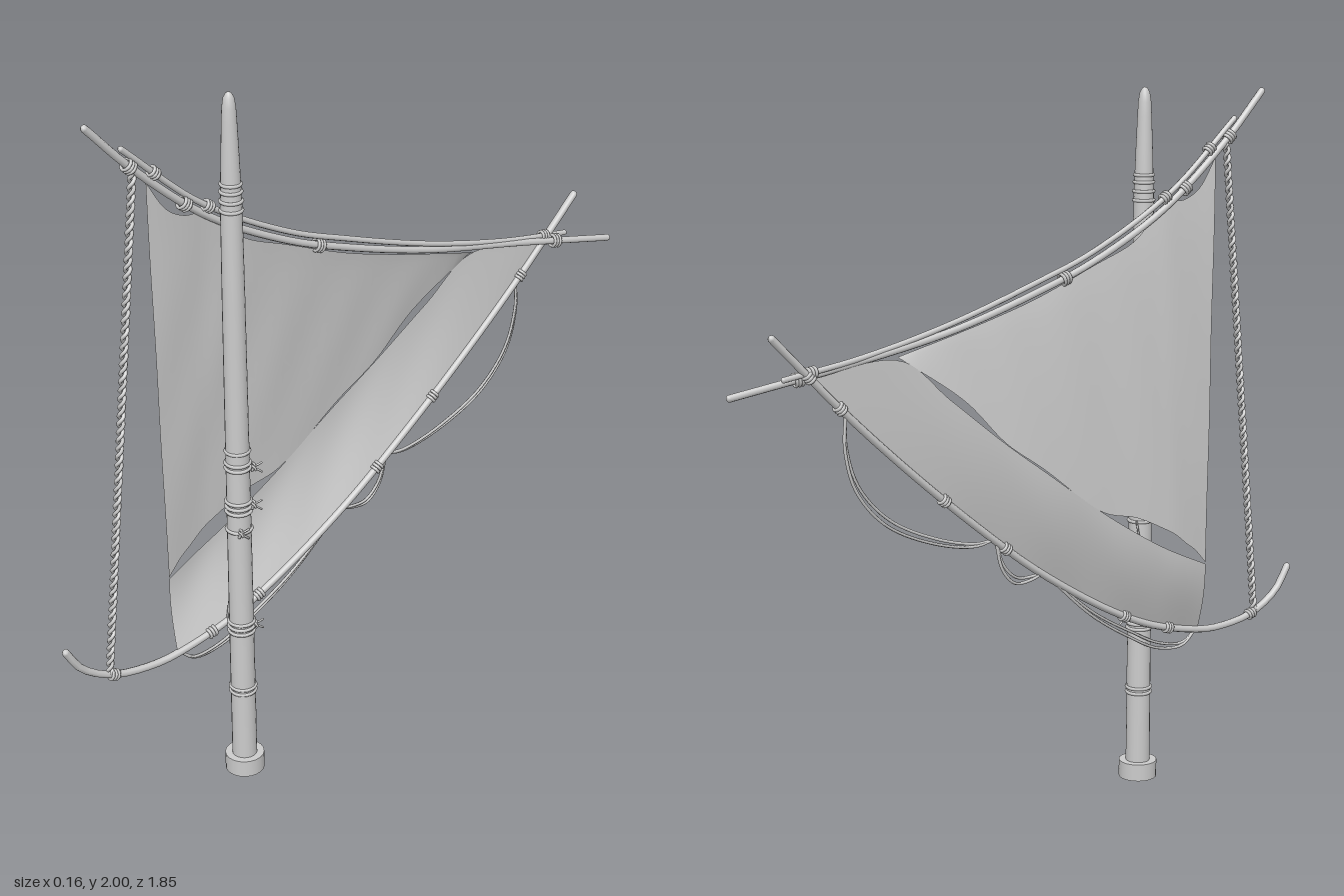
import * as THREE from 'three';

const mat = new THREE.MeshStandardMaterial({ color: 0xcccccc });
const clothMat = new THREE.MeshStandardMaterial({ color: 0xcccccc, side: THREE.DoubleSide });
const V = (x, y, z) => new THREE.Vector3(x, y, z);
const MX = 0.024, MZ = 0.392; // mast axis

function add(parent, name, geo, material = mat) {
  const m = new THREE.Mesh(geo, material);
  m.name = name;
  parent.add(m);
  return m;
}

// Smooth curve through [z, y, x] points; x falls back to the sail plane
const curve = (pts, x = -0.02) =>
  new THREE.CatmullRomCurve3(pts.map(([z, y, px = x]) => V(px, y, z)));

// Round pole or rope with closed ends
function pole(parent, name, path, r, sides = 8, seg = 48) {
  const g = new THREE.Group();
  g.name = name;
  add(g, name + 'Shaft', new THREE.TubeGeometry(path, seg, r, sides));
  for (const t of [0, 1]) {
    const cap = add(g, name + 'End', new THREE.SphereGeometry(r, sides, 6));
    cap.position.copy(path.getPoint(t));
  }
  parent.add(g);
}

// Two strands wound round each other between a and b
function twistedRope(parent, name, a, b, r, turns) {
  for (const phase of [0, Math.PI]) {
    const pts = [];
    const n = turns * 8;
    for (let i = 0; i <= n; i++) {
      const t = i / n, w = t * turns * Math.PI * 2 + phase;
      pts.push(V(Math.cos(w) * r, 0, Math.sin(w) * r).add(a.clone().lerp(b, t)));
    }
    add(parent, name, new THREE.TubeGeometry(new THREE.CatmullRomCurve3(pts), n * 2, r * 0.85, 5));
  }
}

// Rope turns around a spar at parameter t
function lashing(parent, path, t, r, turns = 3) {
  const p = path.getPointAt(t), d = path.getTangentAt(t);
  for (let i = 0; i < turns; i++) {
    const ring = add(parent, 'lashing', new THREE.TorusGeometry(r, 0.0045, 6, 14));
    ring.position.copy(p).addScaledVector(d, (i - (turns - 1) / 2) * 0.009);
    ring.quaternion.setFromUnitVectors(V(0, 0, 1), d);
  }
}

// Cloth ruled between a lower and an upper edge, bellied out toward -x
function cloth(parent, name, lower, upper, belly) {
  const nu = 60, nv = 16, pos = [], idx = [];
  const a = curve(lower), b = curve(upper);
  for (let i = 0; i <= nu; i++) {
    const p = a.getPoint(i / nu), q = b.getPoint(i / nu);
    for (let j = 0; j <= nv; j++) {
      const v = j / nv, c = p.clone().lerp(q, v);
      const fade = THREE.MathUtils.smoothstep(c.z, -0.68, 0.1) *
        (1 - 0.3 * THREE.MathUtils.smoothstep(c.z, 0.42, 0.62));
      const fold = 0.002 * Math.sin(c.z * 30 + c.y * 9) * Math.sin(Math.PI * v);
      pos.push(-0.02 - (0.058 * belly(v) + fold) * fade, c.y, c.z);
      if (i < nu && j < nv) {
        const k = i * (nv + 1) + j, l = k + nv + 1;
        idx.push(k, k + 1, l, k + 1, l + 1, l);
      }
    }
  }
  const g = new THREE.BufferGeometry();
  g.setAttribute('position', new THREE.Float32BufferAttribute(pos, 3));
  g.setIndex(idx);
  g.computeVertexNormals();
  add(parent, name, g, clothMat);
}

function buildMast(root) {
  const mast = new THREE.Group();
  mast.name = 'mast';
  mast.position.set(MX, 0, MZ);
  root.add(mast);
  const lathe = (name, pts) =>
    add(mast, name, new THREE.LatheGeometry(pts.map(p => new THREE.Vector2(...p)), 20));
  // Foot collar, separate loops keep its edges crisp
  add(mast, 'mastFoot', new THREE.CylinderGeometry(0.055, 0.055, 0.05, 20)).position.y = 0.025;
  lathe('mastPole', [[0.035, 0.04], [0.034, 0.5], [0.032, 1], [0.03, 1.45], [0.028, 1.7],
    [0.024, 1.82], [0.02, 1.92], [0.018, 1.96], [0.014, 1.985], [0.007, 1.997], [0, 2]]);
  // Bands around the pole
  for (const [y, r] of [[0.26, 0.035], [0.275, 0.035], [0.455, 0.035], [0.47, 0.035], [0.485, 0.035],
    [0.775, 0.034], [0.83, 0.034], [0.845, 0.034], [0.86, 0.034], [0.96, 0.033], [0.975, 0.033],
    [1.01, 0.032], [1.69, 0.028], [1.715, 0.028], [1.74, 0.027], [1.76, 0.026]]) {
    const band = add(mast, 'mastBand', new THREE.TorusGeometry(r, 0.005, 6, 20));
    band.rotation.x = Math.PI / 2;
    band.position.y = y;
  }
  // Knots with loose ends
  for (const [x, y, z] of [[0.018, 0.955, -0.036], [0.03, 0.85, -0.025], [0.03, 0.775, 0.018], [0.025, 0.475, -0.026]]) {
    const knot = add(mast, 'knot', new THREE.TorusKnotGeometry(0.008, 0.0035, 36, 5));
    knot.position.set(x, y, z);
    for (const s of [-1, 1]) {
      add(mast, 'knotTail', new THREE.TubeGeometry(new THREE.CatmullRomCurve3([
        V(x, y, z), V(x + 0.008, y + 0.008 * s, z - 0.012), V(x + 0.004, y + 0.014 * s - 0.006, z - 0.026),
      ]), 8, 0.003, 5));
    }
  }
}

export function createModel() {
  const root = new THREE.Group();
  root.name = 'sailRig';
  buildMast(root);

  // Curved spars
  const yard = curve([[0.776, 1.975], [0.644, 1.84], [0.43, 1.667], [0.19, 1.542], [0, 1.474],
    [-0.284, 1.394], [-0.6, 1.337, -0.012], [-0.75, 1.312, 0.002], [-0.914, 1.285, 0.02]]);
  const upperYard = curve([[0.68, 1.903], [0.458, 1.713], [0.19, 1.568], [0, 1.5],
    [-0.28, 1.414], [-0.55, 1.354], [-0.78, 1.322]], -0.017);
  const boom = curve([[0.918, 0.56], [0.872, 0.492], [0.776, 0.437], [0.644, 0.419], [0.564, 0.427], [0.405, 0.469],
    [0.246, 0.543], [0, 0.697], [-0.178, 0.835], [-0.39, 1.015], [-0.6, 1.21], [-0.813, 1.43]]);
  pole(root, 'yard', yard, 0.01);
  pole(root, 'upperYard', upperYard, 0.008);
  pole(root, 'boom', boom, 0.0105, 8, 64);
  for (const t of [0.09, 0.2, 0.45, 0.9]) lashing(root, yard, t, 0.016);
  for (const t of [0.075, 0.2, 0.95]) lashing(root, upperYard, t, 0.013);
  for (const t of [0.09, 0.24, 0.32, 0.55, 0.67, 0.87, 0.93]) lashing(root, boom, t, 0.013);

  // Upper sail panel
  cloth(root, 'upperSail',
    [[0.564, 0.64], [0.52, 0.685], [0.485, 0.71], [0.44, 0.745], [0.395, 0.77], [0.3, 0.815],
      [0.183, 0.848], [-0.02, 1.0], [-0.135, 1.083], [-0.257, 1.21], [-0.445, 1.342]],
    [[0.612, 1.8], [0.554, 1.715], [0.5, 1.687], [0.44, 1.685], [0.384, 1.637], [0.326, 1.584],
      [0.19, 1.53], [0, 1.458], [-0.15, 1.415], [-0.284, 1.382], [-0.445, 1.345]],
    v => Math.pow(1 - v, 0.85));

  // Lower sail panel along the boom
  cloth(root, 'lowerSail',
    [[0.575, 0.43], [0.405, 0.475], [0.246, 0.548], [0, 0.702], [-0.178, 0.84], [-0.39, 1.02], [-0.6, 1.215], [-0.7, 1.312]],
    [[0.564, 0.635], [0.395, 0.715], [0.183, 0.846], [0, 0.98], [-0.135, 1.081], [-0.3, 1.218], [-0.445, 1.337], [-0.7, 1.316]],
    v => Math.sin(v * Math.PI / 2));

  // Twisted stay between the spar tips
  twistedRope(root, 'stayRope', V(-0.02, 1.835, 0.65), V(-0.02, 0.445, 0.79), 0.0065, 30);

  // Slack double ropes under the boom
  const slack = [
    [[-0.605, 1.205], [-0.607, 1.13], [-0.575, 1.015], [-0.485, 0.91], [-0.337, 0.835], [-0.204, 0.803], [-0.146, 0.81]],
    [[-0.14, 0.805], [-0.115, 0.725], [-0.072, 0.682], [-0.02, 0.68], [0.02, 0.69]],
    [[0.02, 0.69], [0.19, 0.54], [0.325, 0.455], [0.43, 0.402], [0.52, 0.392], [0.564, 0.425]],
  ];
  for (const pts of slack) for (const s of [-1, 1]) {
    const path = curve(pts.map(([z, y], i) => {
      const w = s * 0.006 * Math.sin(Math.PI * i / (pts.length - 1));
      return [z + w, y + w, -0.02 + w * 0.6];
    }));
    add(root, 'slackRope', new THREE.TubeGeometry(path, 36, 0.0045, 5));
  }

  // Line tying the boom to the mast
  add(root, 'boomTie', new THREE.TubeGeometry(curve(
    [[0.41, 0.47], [0.4, 0.56, -0.014], [0.375, 0.66, -0.014], [0.36, 0.78, 0]]), 20, 0.003, 5));
  return root;
}
